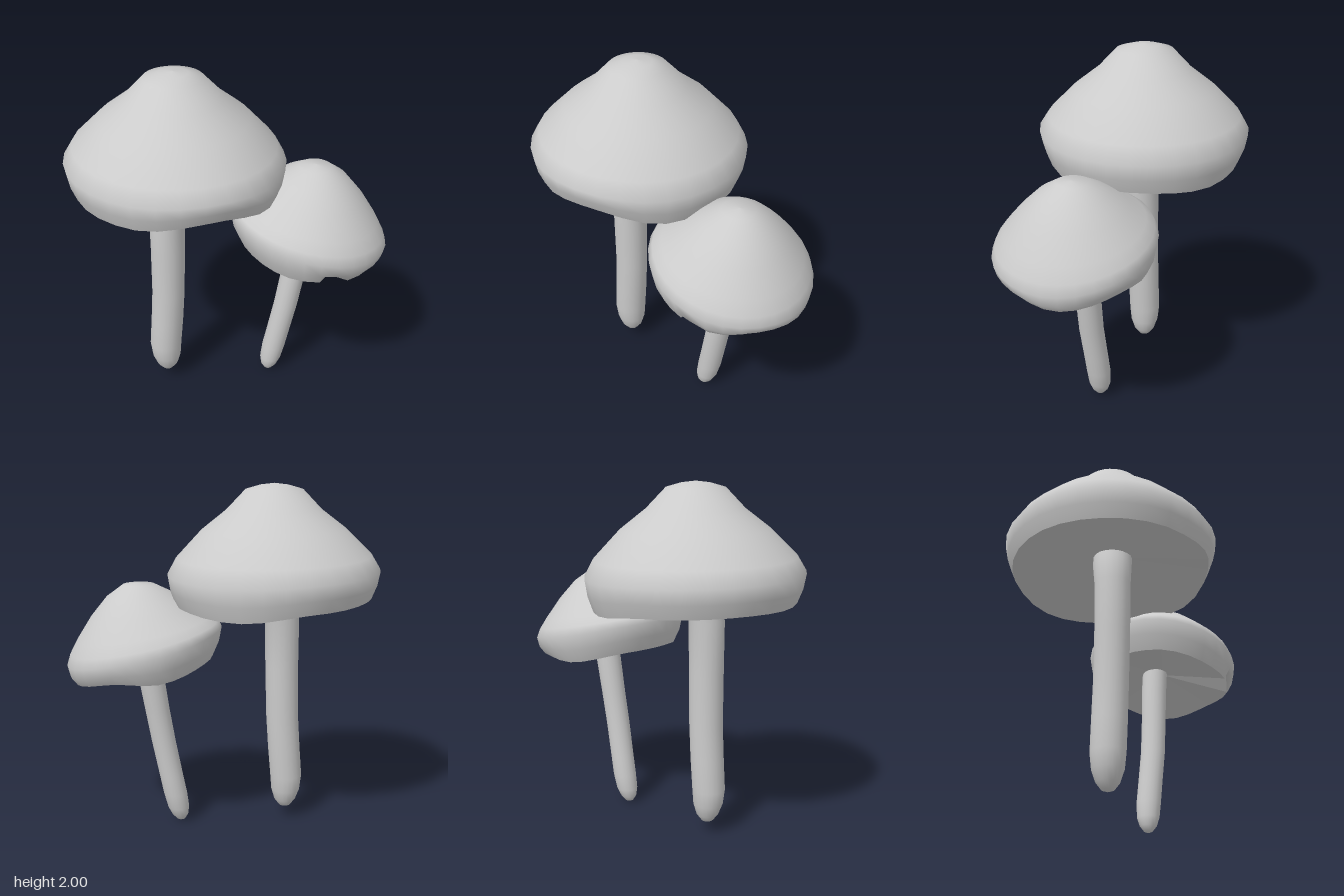
import * as THREE from 'three';

const SIDES = 30;
const smooth = new THREE.MeshStandardMaterial({ color: 0xcccccc, side: THREE.DoubleSide });
const faceted = new THREE.MeshStandardMaterial({ color: 0xcccccc, side: THREE.DoubleSide, flatShading: true });

// Skin a stack of rings; point(ring, angle) returns [x, y, z].
function loft(name, rings, point, material, sides = SIDES) {
  const positions = [], index = [];
  rings.forEach((ring, i) => {
    for (let j = 0; j < sides; j++) {
      positions.push(...point(ring, (j / sides) * Math.PI * 2));
      if (i === rings.length - 1) continue;
      const k = (j + 1) % sides;
      const a = i * sides + j, b = a + sides, c = i * sides + k, d = c + sides;
      index.push(a, c, b, c, d, b);
    }
  });
  const geometry = new THREE.BufferGeometry();
  geometry.setAttribute('position', new THREE.Float32BufferAttribute(positions, 3));
  geometry.setIndex(index);
  geometry.computeVertexNormals();
  const mesh = new THREE.Mesh(geometry, material);
  mesh.name = name;
  return mesh;
}

// Smoothly interpolate rim heights given at even steps around the cap.
function around(values, angle) {
  const t = (angle / (Math.PI * 2)) * values.length;
  const i = Math.floor(t), f = (1 - Math.cos((t - i) * Math.PI)) / 2;
  const n = values.length;
  return values[i % n] * (1 - f) + values[(i + 1) % n] * f;
}

function mushroom(name, { centre, radius, lean, apexShift, notch, rim, profile, gillTop, stem }) {
  const group = new THREE.Group();
  group.name = name;

  // ring: [radius, height, how much of the rim wave applies]
  const capPoint = ([r, y, wave], a) => {
    const dx = r * Math.cos(a), dz = r * Math.sin(a);
    const tilt = (r / radius) ** 2;
    const cut = wave === 1 ? notch * Math.exp(-(((a - Math.PI / 2 - 0.105) / 0.09) ** 2)) : 0;
    return [
      centre[0] + dx + apexShift * (1 - r / radius),
      y + tilt * (lean[0] * dx + lean[1] * dz) + around(rim, a) * wave + cut,
      centre[1] + dz,
    ];
  };
  group.add(loft('cap', profile, capPoint, smooth));

  // Underside: a shallow faceted fan from the rim up to the stem
  const edge = profile[profile.length - 1];
  group.add(loft('gills', [edge, [0, gillTop, 0]], capPoint, faceted));

  // Stem ring: [y, x, z, radius]
  const stemPoint = ([y, x, z, r], a) => [x + r * Math.cos(a), y, z + r * Math.sin(a)];
  group.add(loft('stem', stem, stemPoint, smooth, 20));
  return group;
}

export function createModel() {
  const model = new THREE.Group();
  model.name = 'mushrooms';

  model.add(mushroom('tallMushroom', {
    centre: [-0.265, -0.06],
    radius: 0.6,
    lean: [-0.025, 0],
    apexShift: 0,
    notch: 0,
    rim: [-0.02, -0.025, 0.045, 0, -0.005, 0.005, 0, -0.04],
    profile: [
      [0, 2.0, 0], [0.08, 1.99, 0], [0.16, 1.967, 0], [0.265, 1.857, 0], [0.405, 1.748, 0],
      [0.55, 1.6, 0.1], [0.6, 1.515, 0.3], [0.585, 1.435, 0.7], [0.555, 1.36, 1],
    ],
    gillTop: 1.47,
    stem: [
      [1.5, -0.25, -0.05, 0.11], [1.4, -0.29, -0.05, 0.11], [1.25, -0.332, -0.045, 0.1],
      [0.95, -0.335, -0.045, 0.097], [0.65, -0.34, -0.05, 0.095], [0.45, -0.352, -0.055, 0.095],
      [0.27, -0.366, -0.06, 0.094], [0.18, -0.364, -0.06, 0.085], [0.115, -0.361, -0.06, 0.063],
      [0.077, -0.36, -0.06, 0.034], [0.065, -0.36, -0.06, 0],
    ],
  }));

  model.add(mushroom('shortMushroom', {
    centre: [0.42, 0.212],
    radius: 0.445,
    lean: [-0.23, -0.09],
    apexShift: 0.035,
    notch: 0.1,
    rim: [0.01, 0.05, 0.01, -0.015, 0, 0, -0.02, 0.03],
    profile: [
      [0, 1.447, 0], [0.09, 1.438, 0], [0.19, 1.377, 0], [0.29, 1.285, 0], [0.38, 1.19, 0],
      [0.425, 1.135, 0.1], [0.445, 1.085, 0.3], [0.43, 1.01, 0.7], [0.395, 0.945, 1],
    ],
    gillTop: 1.04,
    stem: [
      [1.1, 0.435, 0.17, 0.075], [0.9, 0.4, 0.16, 0.074], [0.7, 0.368, 0.156, 0.071],
      [0.5, 0.334, 0.15, 0.07], [0.3, 0.298, 0.133, 0.069], [0.18, 0.276, 0.123, 0.069],
      [0.09, 0.258, 0.12, 0.063], [0.04, 0.248, 0.12, 0.047], [0.01, 0.243, 0.12, 0.024],
      [0, 0.242, 0.12, 0],
    ],
  }));

  return model;
}
